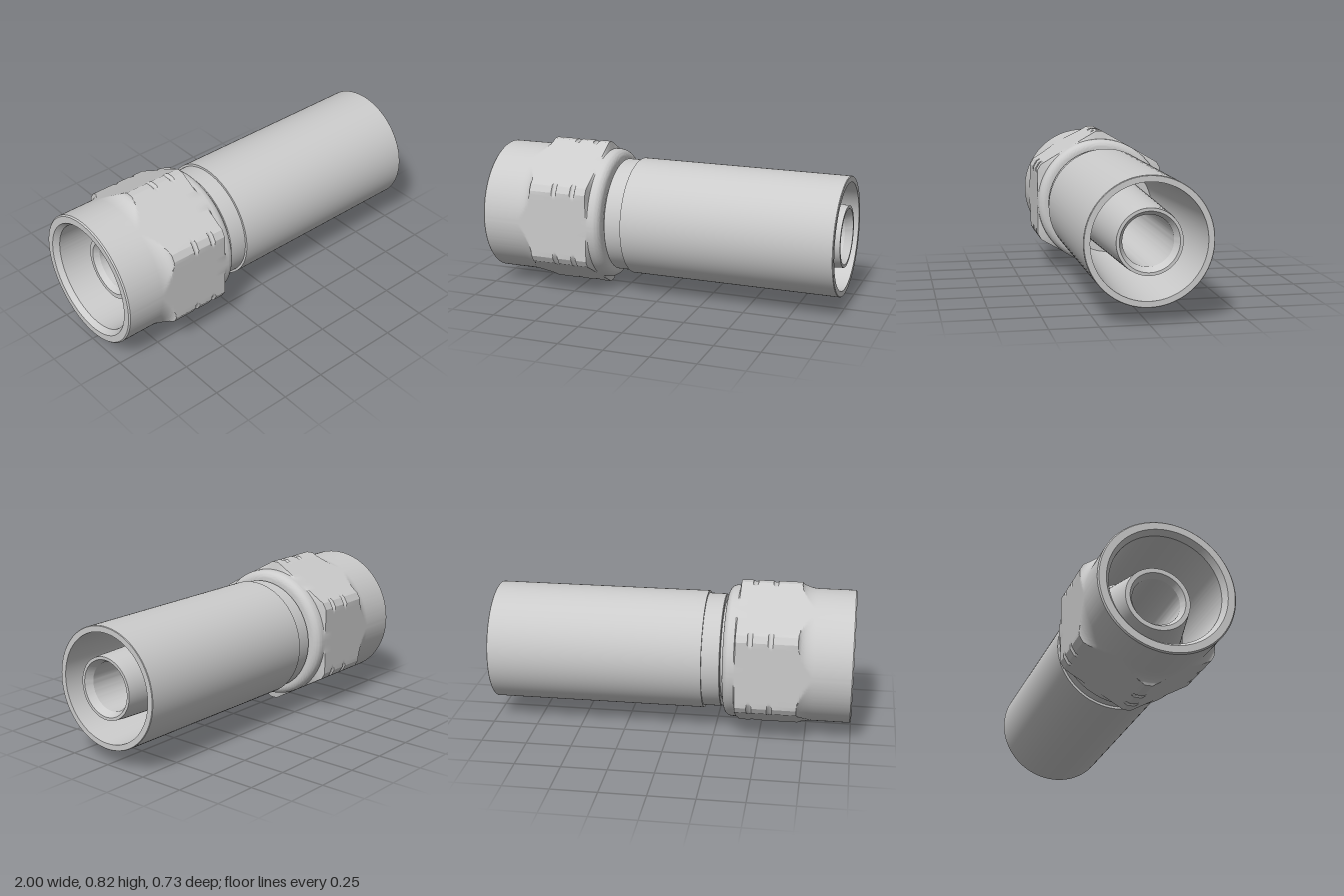
import * as THREE from 'three';
import { toCreasedNormals } from 'three/addons/utils/BufferGeometryUtils.js';

const AXIS_Y = 0.413;
const FLAT = 0.367;      // centre to hex flat
const CORNER = 0.412;    // centre to the small flats cut on the hex corners
const material = new THREE.MeshStandardMaterial({ color: 0xcccccc });

function addPart(group, name, geometry, crease) {
  const mesh = new THREE.Mesh(toCreasedNormals(geometry, crease), material);
  mesh.name = name;
  group.add(mesh);
  return mesh;
}

// Closed profile of [x, radius], turned around the x axis
function turned(profile) {
  const points = [...profile, profile[0]].map(([x, r]) => new THREE.Vector2(r, x));
  return new THREE.LatheGeometry(points, 96).rotateZ(-Math.PI / 2);
}

// Angles round the hex, with exact corners at both ends of each flat
function hexAngles() {
  const half = Math.atan((FLAT / Math.cos(Math.PI / 6) - CORNER) * Math.sqrt(3) / CORNER);
  const flatHalf = Math.PI / 6 - half;
  const angles = [];
  for (let side = 0; side < 6; side++) {
    const mid = side * Math.PI / 3;
    for (let i = 0; i < 40; i++) angles.push(mid - flatHalf + 2 * flatHalf * i / 40);
    for (let i = 0; i < 4; i++) angles.push(mid + flatHalf + 2 * half * i / 4);
  }
  return angles;
}

// Distance to the corner-cut hex at an angle measured from +z
function hexRadius(angle) {
  const step = Math.PI / 3;
  const a = angle - Math.round(angle / step) * step;
  return Math.min(FLAT / Math.cos(a), CORNER / Math.cos(step / 2 - Math.abs(a)));
}

// Each row is [x, round radius, limit of the hex]
function nutGeometry() {
  const rows = [[-1, 0.36], [-0.993, FLAT]];
  // Flare from the round sleeve up to the hex
  for (let i = 0; i <= 12; i++) {
    const t = i / 12 * Math.PI / 2;
    rows.push([-0.79 + 0.085 * Math.sin(t), FLAT, FLAT + 0.047 * (1 - Math.cos(t))]);
  }
  // Two marking grooves across the corners
  for (const x of [-0.56, -0.45]) {
    for (let i = 0; i <= 10; i++) {
      const t = i / 10 * Math.PI;
      rows.push([x - 0.014 * Math.cos(t), FLAT, 0.414 - 0.013 * Math.sin(t)]);
    }
  }
  rows.push([-0.372, FLAT, 0.43], [-0.364, FLAT]);
  // Rounded collar
  for (let i = 0; i <= 10; i++) {
    const t = i / 10 * Math.PI / 2;
    rows.push([-0.345 + 0.045 * Math.sin(t), FLAT - 0.045 * (1 - Math.cos(t))]);
  }
  // Back opening and front bore
  rows.push([-0.3, 0.28], [-0.4, 0.28], [-0.42, 0.3], [-0.97, 0.3], [-1, 0.322]);

  const angles = hexAngles(), n = angles.length;
  const positions = [], index = [];
  rows.forEach(([x, round, limit = 0], j) => {
    angles.forEach((a, i) => {
      const r = Math.max(round, Math.min(hexRadius(a), limit));
      positions.push(x, r * Math.sin(a), r * Math.cos(a));
      const i2 = (i + 1) % n, j2 = (j + 1) % rows.length;
      const p = j * n + i, q = j * n + i2, s = j2 * n + i, t = j2 * n + i2;
      index.push(p, s, q, q, s, t);
    });
  });
  const geometry = new THREE.BufferGeometry();
  geometry.setAttribute('position', new THREE.Float32BufferAttribute(positions, 3));
  geometry.setIndex(index);
  return geometry;
}

export function createModel() {
  const group = new THREE.Group();
  group.name = 'hoseFitting';

  addPart(group, 'swivelNut', nutGeometry(), 0.45);

  // Crimp sleeve with a stepped collar and a tapered hose socket
  addPart(group, 'crimpSleeve', turned([
    [-0.285, 0.22], [-0.285, 0.312], [-0.282, 0.315], [-0.185, 0.315], [-0.185, 0.328],
    [0.997, 0.328], [1, 0.325], [1, 0.295], [-0.1, 0.255], [-0.1, 0.19],
  ]), 0.5);

  // Hollow stem: cone nose in the nut, neck, and tapered hose tail
  addPart(group, 'stem', turned([
    [-0.86, 0.15], [-0.86, 0.175], [-0.55, 0.25], [-0.5, 0.275], [-0.2, 0.275],
    [-0.2, 0.2], [0, 0.2], [0.95, 0.172], [1, 0.168], [1, 0.152],
    [0.96, 0.13], [-0.83, 0.13],
  ]), 0.3);

  group.children.forEach((mesh) => { mesh.position.y = AXIS_Y; });
  return group;
}
